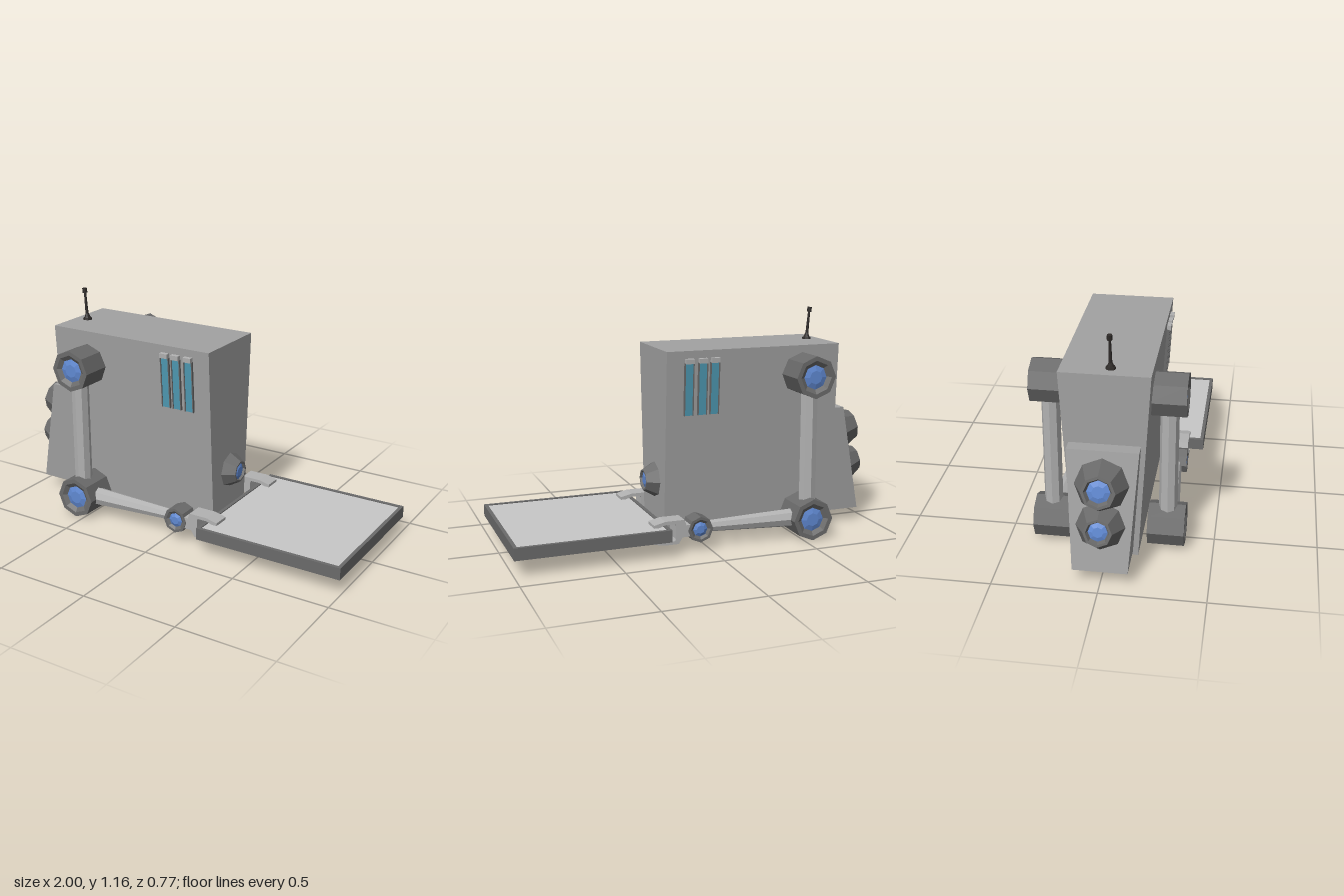
import * as THREE from 'three';

const mat = (name, color) => {
  const m = new THREE.MeshStandardMaterial({ color });
  m.name = name;
  return m;
};

export function createModel() {
  const grey = mat('bodyGrey', 0xa2a2a2);
  const dark = mat('darkGrey', 0x6b6b6b);
  const light = mat('armGrey', 0xb2b2b2);
  const pale = mat('panelGrey', 0xc8c8c8);
  const blue = mat('lensBlue', 0x6089d2);
  const teal = mat('ventTeal', 0x4f9ab4);
  const black = mat('antennaBlack', 0x2e2a28);
  const root = new THREE.Group();
  root.name = 'loaderRobot';

  const V = (x, y, z) => new THREE.Vector3(x, y, z);
  const UP = V(0, 1, 0);

  // Faceted mesh: split vertices so every face keeps its own normal
  function add(name, geo, material, parent = root) {
    const g = geo.index ? geo.toNonIndexed() : geo;
    g.computeVertexNormals();
    const m = new THREE.Mesh(g, material);
    m.name = name;
    parent.add(m);
    return m;
  }
  function box(name, x0, x1, y0, y1, z0, z1, material) {
    const m = add(name, new THREE.BoxGeometry(x1 - x0, y1 - y0, z1 - z0), material);
    m.position.set((x0 + x1) / 2, (y0 + y1) / 2, (z0 + z1) / 2);
    return m;
  }
  // Tapered rod between two points
  function rod(name, a, b, r0, r1, material, sides = 8) {
    const d = b.clone().sub(a);
    const m = add(name, new THREE.CylinderGeometry(r1, r0, d.length(), sides), material);
    m.position.copy(a).addScaledVector(d, 0.5);
    m.quaternion.setFromUnitVectors(UP, d.normalize());
    return m;
  }
  // Eight-sided housing with a blue lens sunk in its outer end
  function housing(name, at, dir, length, r0, r1, lip, lensR, sink) {
    const g = new THREE.Group();
    g.name = name;
    const pts = [[0, 0], [r0, 0], [r1, length], [lip, length], [lensR, length - sink], [0, length - sink]];
    add(name + 'Shell', new THREE.LatheGeometry(pts.map(p => new THREE.Vector2(...p)), 8), dark, g);
    const lens = add(name + 'Lens', new THREE.CylinderGeometry(lensR * 0.55, lensR, 0.008, 8), blue, g);
    lens.position.y = length - sink + 0.004;
    g.position.copy(at);
    g.quaternion.setFromUnitVectors(UP, dir.clone().normalize());
    root.add(g);
  }
  // Side outline in x and y, extruded evenly along z
  function plate(name, pts, depth, material) {
    const s = new THREE.Shape(pts.map(p => new THREE.Vector2(...p)));
    const g = new THREE.ExtrudeGeometry(s, { depth, bevelEnabled: false });
    g.translate(0, 0, -depth / 2);
    return add(name, g, material);
  }
  // Narrow the z extent towards the bottom
  function taper(mesh, y0, h0, y1, h1) {
    const p = mesh.geometry.attributes.position;
    for (let i = 0; i < p.count; i++) {
      const t = (p.getY(i) - y0) / (y1 - y0);
      p.setZ(i, Math.sign(p.getZ(i)) * (h0 + (h1 - h0) * t));
    }
    mesh.geometry.computeVertexNormals();
  }

  // Body and rear wedge
  taper(plate('body', [[-0.752, 0.055], [0.188, 0.055], [0.188, 0.992], [-0.752, 0.992]], 0.4, grey),
    0.055, 0.155, 0.992, 0.209);
  taper(plate('rearWedge', [[-0.935, 0.075], [-0.74, 0.075], [-0.74, 0.645], [-0.815, 0.645]], 0.3, grey),
    0.075, 0.13, 0.645, 0.166);

  // Front lamp and two rear thrusters
  housing('frontLamp', V(0.18, 0.31, -0.01), V(1, 0, 0), 0.07, 0.097, 0.056, 0.048, 0.044, 0.012);
  const out = V(-0.979, 0.206, 0);
  housing('upperThruster', V(-0.84, 0.487, 0), out, 0.118, 0.13, 0.08, 0.066, 0.055, 0.02);
  housing('lowerThruster', V(-0.893, 0.3, 0), out, 0.094, 0.115, 0.067, 0.055, 0.046, 0.02);

  // Limbs, one on each side
  for (const s of [1, -1]) {
    const side = s > 0 ? 'front' : 'back';
    const z = d => s * d - 0.006;
    const sy = s > 0 ? 0.815 : 0.848;
    const dir = V(0, 0, s);
    const armZ = z(0.28);
    housing(side + 'Shoulder', V(-0.545, sy, z(0.19)), dir, 0.174, 0.108, 0.108, 0.085, 0.062, 0.015);
    housing(side + 'Elbow', V(-0.545, 0.112, z(0.188)), dir, 0.178, 0.108, 0.108, 0.085, 0.062, 0.015);
    housing(side + 'Wrist', V(0.055, 0.115, z(0.225)), dir, 0.096, 0.066, 0.066, 0.052, 0.038, 0.01);
    rod(side + 'UpperArm', V(-0.548, 0.18, armZ), V(-0.548, sy - 0.07, armZ), 0.045, 0.045, light);
    rod(side + 'Forearm', V(-0.48, 0.112, armZ), V(0.03, 0.113, z(0.265)), 0.048, 0.028, light);

    // Clamp gripping the tray
    const clamp = plate(side + 'Clamp', [
      [0.1, 0.085], [0.15, 0.085], [0.17, 0.053], [0.24, 0.053], [0.298, 0.063], [0.298, 0.085],
      [0.27, 0.085], [0.24, 0.07], [0.19, 0.07], [0.185, 0.08], [0.185, 0.15], [0.19, 0.157],
      [0.24, 0.157], [0.27, 0.146], [0.298, 0.146], [0.298, 0.16], [0.24, 0.174],
      [0.14, 0.174], [0.13, 0.145], [0.1, 0.145]], 0.088, light);
    clamp.position.z = z(0.272);

    // Vents lying on the sloping wall
    const tilt = s * Math.atan(0.054 / 0.937);
    for (const [i, x] of [-0.064, 0, 0.072].entries()) {
      const vent = new THREE.Group();
      vent.name = side + 'Vent' + (i + 1);
      const slat = add('ventSlat', new THREE.BoxGeometry(0.042, 0.265, 0.008), teal, vent);
      slat.position.z = s * 0.004;
      const cap = add('ventCap', new THREE.BoxGeometry(0.044, 0.024, 0.022), light, vent);
      cap.position.set(0, 0.142, s * 0.009);
      for (const e of [-1, 1]) {
        const edge = add('ventEdge', new THREE.BoxGeometry(0.005, 0.265, 0.014), dark, vent);
        edge.position.set(e * 0.0225, 0, s * 0.006);
      }
      vent.position.set(x, 0.8, s * 0.198);
      vent.rotation.x = tilt;
      root.add(vent);
    }
  }

  // Tray: base, raised rim and pale inlay
  box('trayBase', 0.226, 1, 0.088, 0.138, -0.387, 0.387, dark);
  for (const s of [-1, 1]) {
    box('traySideRim', 0.226, 1, 0.138, 0.149, s * 0.378 - 0.009, s * 0.378 + 0.009, dark);
    const cx = 0.613 + s * 0.378;
    box('trayEndRim', cx - 0.009, cx + 0.009, 0.138, 0.149, -0.369, 0.369, dark);
  }
  box('trayInlay', 0.244, 0.982, 0.138, 0.144, -0.369, 0.369, pale);

  // Antenna
  const a = V(-0.682, 0.99, 0.02), b = V(-0.694, 1.135, 0.018);
  rod('antennaBase', a, V(-0.682, 1.002, 0.02), 0.025, 0.022, black);
  rod('antennaFoot', V(-0.682, 1, 0.02), V(-0.684, 1.025, 0.02), 0.018, 0.008, black);
  rod('antennaStem', a, b, 0.009, 0.006, black);
  rod('antennaTip', b, V(-0.697, 1.16, 0.018), 0.013, 0.012, black);

  return root;
}
